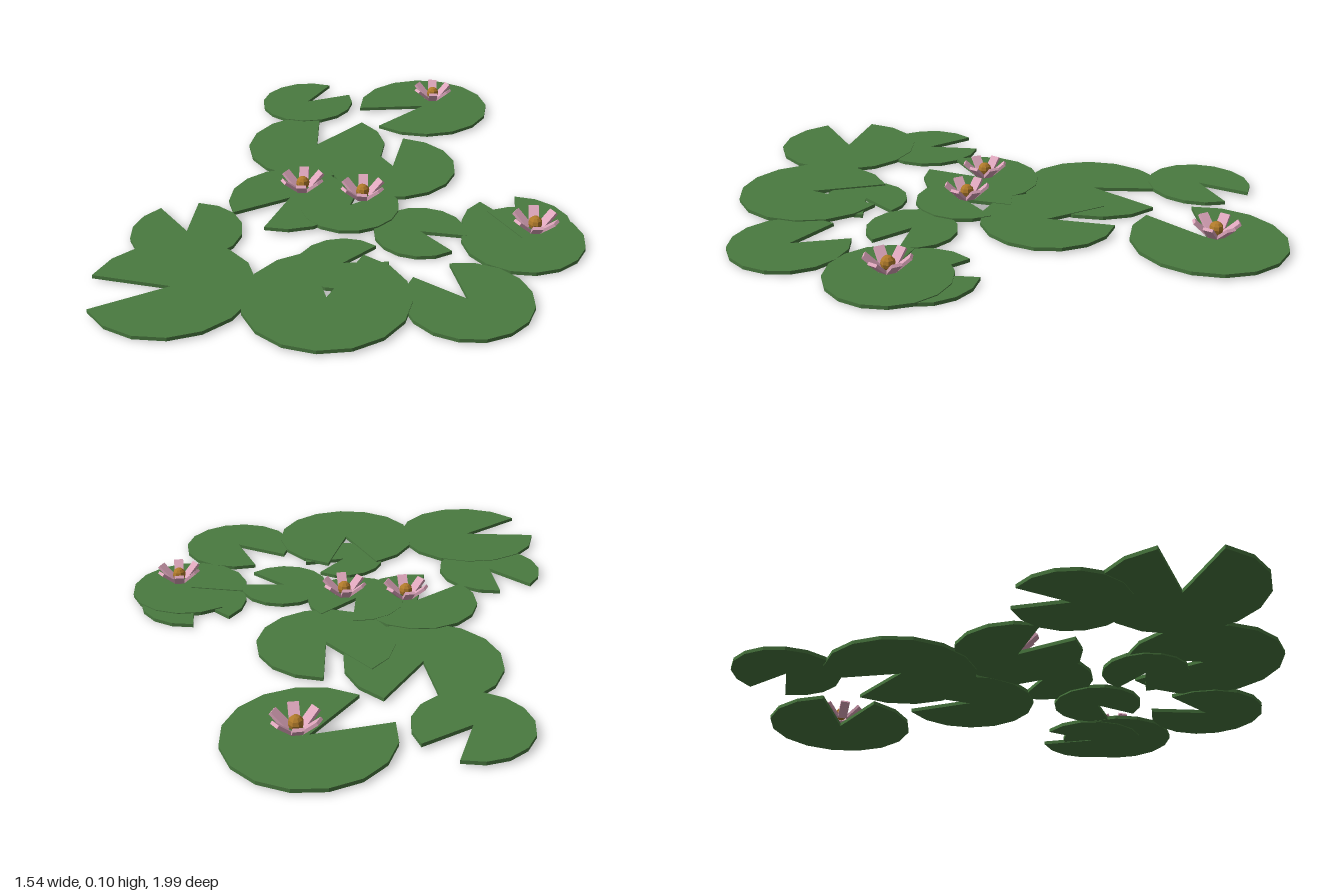
import * as THREE from 'three';

const leafGreen = new THREE.MeshStandardMaterial({ name: 'leaf green', color: 0x4a7a40, flatShading: true });
const petalPink = new THREE.MeshStandardMaterial({ name: 'petal pink', color: 0xdea6bc, flatShading: true });
const stamenGold = new THREE.MeshStandardMaterial({ name: 'stamen gold', color: 0xb07a2a, flatShading: true });

const THICK = 0.012, GAP = 41, SIDES = 14;
const rad = THREE.MathUtils.degToRad;

// Pads: x, z, radius, direction of the notch in degrees (from +x towards +z), base height
const PADS = [
  [-0.185, -0.75, 0.25, 123.5, 0.006],
  [-0.595, -0.54, 0.177, -73.5, 0.008],
  [-0.355, -0.25, 0.25, -101, 0.005],
  [-0.03, -0.25, 0.222, -131, 0.007],
  [-0.01, 0.067, 0.165, -87, 0.009],
  [-0.21, 0.13, 0.205, 99.5, 0.008],
  [0.267, 0.082, 0.15, -1, 0.004],
  [0.565, -0.055, 0.198, 188, 0.003],
  [0.51, -0.13, 0.18, -138, 0.0],
  [0.57, 0.335, 0.195, -155, 0.002],
  [0.153, 0.365, 0.142, -55, 0.001],
  [0.215, 0.55, 0.253, -117, 0.006],
  [-0.21, 0.745, 0.253, 141, 0.005],
  [-0.373, 0.475, 0.18, -137.5, 0.003],
];

// Blossoms: x, z
const BLOSSOMS = [[-0.16, -0.78], [0.02, 0.035], [-0.18, 0.095], [0.593, -0.077]];

// Flat faceted disc with a wedge cut to its centre
function makePad([x, z, r, notch, y]) {
  const shape = new THREE.Shape().moveTo(0, 0);
  for (let i = 0; i <= SIDES; i++) {
    const a = rad(notch + GAP / 2 + (360 - GAP) * i / SIDES);
    shape.lineTo(r * Math.cos(a), -r * Math.sin(a));
  }
  shape.closePath();
  const geo = new THREE.ExtrudeGeometry(shape, { depth: THICK, bevelEnabled: false });
  geo.rotateX(-Math.PI / 2);
  const pad = new THREE.Mesh(geo, leafGreen);
  pad.name = 'lilyPad';
  pad.position.set(x, y, z);
  return pad;
}

// Six outward-leaning petals round a golden heart
function makeBlossom([x, z]) {
  const blossom = new THREE.Group();
  blossom.name = 'blossom';
  const petalGeo = new THREE.BoxGeometry(0.01, 0.066, 0.032);
  petalGeo.rotateZ(-rad(48));
  petalGeo.translate(0.046, 0.07, 0);
  for (let i = 0; i < 6; i++) {
    const petal = new THREE.Mesh(petalGeo, petalPink);
    petal.name = 'petal';
    petal.rotation.y = i * Math.PI / 3;
    blossom.add(petal);
  }
  const heart = new THREE.Mesh(new THREE.SphereGeometry(0.023, 8, 6), stamenGold);
  heart.name = 'blossomHeart';
  heart.position.y = 0.07;
  blossom.add(heart);
  blossom.position.set(x, 0, z);
  return blossom;
}

export function createModel() {
  const model = new THREE.Group();
  model.name = 'lilyPads';
  PADS.forEach((p) => model.add(makePad(p)));
  BLOSSOMS.forEach((b) => model.add(makeBlossom(b)));
  return model;
}
